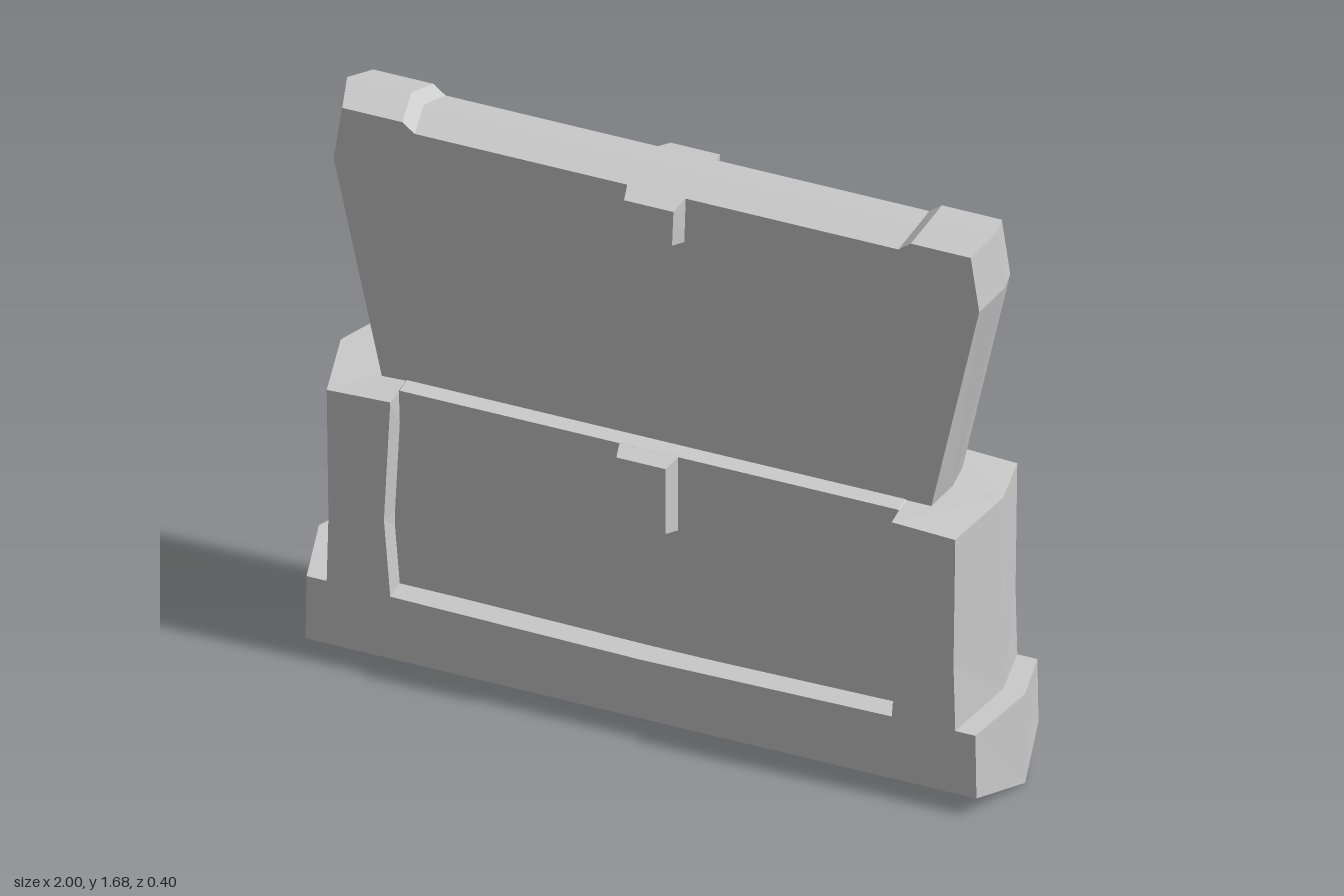
import * as THREE from 'three';

const material = new THREE.MeshStandardMaterial({ color: 0xcccccc, flatShading: true });

// Complete a right-hand half outline (counter-clockwise) with its mirror image
function mirrored(half) {
  const left = half.filter(([x]) => x !== 0).reverse().map(([x, y]) => [-x, y]);
  return [...half, ...left];
}

// Bevelled slab: outline "face" at +-zFace, joined to outline "mid" at +-zMid
function slab(name, halfFace, zFace, halfMid, zMid = 0) {
  const face = mirrored(halfFace), mid = mirrored(halfMid);
  const pos = [];
  // s = -1 repeats each triangle on the back with its winding reversed
  const tri = (a, b, c) => {
    for (const p of [a, b, c]) pos.push(...p);
    for (const p of [a, c, b]) pos.push(p[0], p[1], -p[2]);
  };
  const f = face.map(([x, y]) => [x, y, zFace]);
  const m = mid.map(([x, y]) => [x, y, zMid]);
  const flat = face.map(([x, y]) => new THREE.Vector2(x, y));
  for (const [a, b, c] of THREE.ShapeUtils.triangulateShape(flat, [])) tri(f[a], f[b], f[c]);
  for (let i = 0; i < f.length; i++) {
    const j = (i + 1) % f.length;
    tri(m[i], m[j], f[j]);
    tri(m[i], f[j], f[i]);
  }
  const geometry = new THREE.BufferGeometry();
  geometry.setAttribute('position', new THREE.Float32BufferAttribute(pos, 3));
  geometry.computeVertexNormals();
  const mesh = new THREE.Mesh(geometry, material);
  mesh.name = name;
  return mesh;
}

export function createModel() {
  const group = new THREE.Group();
  group.name = 'chest';

  // Plinth and corner posts in one U-shaped frame, ridged along its middle
  group.add(slab('baseFrame',
    [[0.95, 0.057], [0.947, 0.25], [0.89, 0.25], [0.885, 0.45], [0.89, 0.84],
      [0.71, 0.848], [0.728, 0.48], [0.71, 0.248], [0, 0.238]], 0.2,
    [[1, 0], [1, 0.275], [0.938, 0.275], [0.938, 0.45], [0.938, 0.865],
      [0.7, 0.865], [0.69, 0.48], [0.69, 0.3], [0, 0.3]]));

  // Recessed panel between the posts
  group.add(slab('panel',
    [[0.76, 0.2], [0.76, 0.8], [0.706, 0.856]], 0.15,
    [[0.76, 0.2], [0.76, 0.8], [0.706, 0.865]]));

  // Upright lid, flaring outwards, with raised top corners
  group.add(slab('lid',
    [[0.775, 0.84], [0.914, 1.49], [0.89, 1.652], [0.72, 1.652], [0.685, 1.625]], 0.1,
    [[0.79, 0.84], [0.943, 1.515], [0.92, 1.68], [0.738, 1.68], [0.702, 1.652]]));

  // Latch blocks on both sides of the lid and the panel
  group.add(slab('lidLatch',
    [[0.066, 1.505], [0.07, 1.61]], 0.15,
    [[0.08, 1.488], [0.084, 1.627]], 0.095));
  group.add(slab('panelLatch',
    [[0.07, 0.645], [0.07, 0.845]], 0.2,
    [[0.084, 0.628], [0.084, 0.857]], 0.145));

  return group;
}
